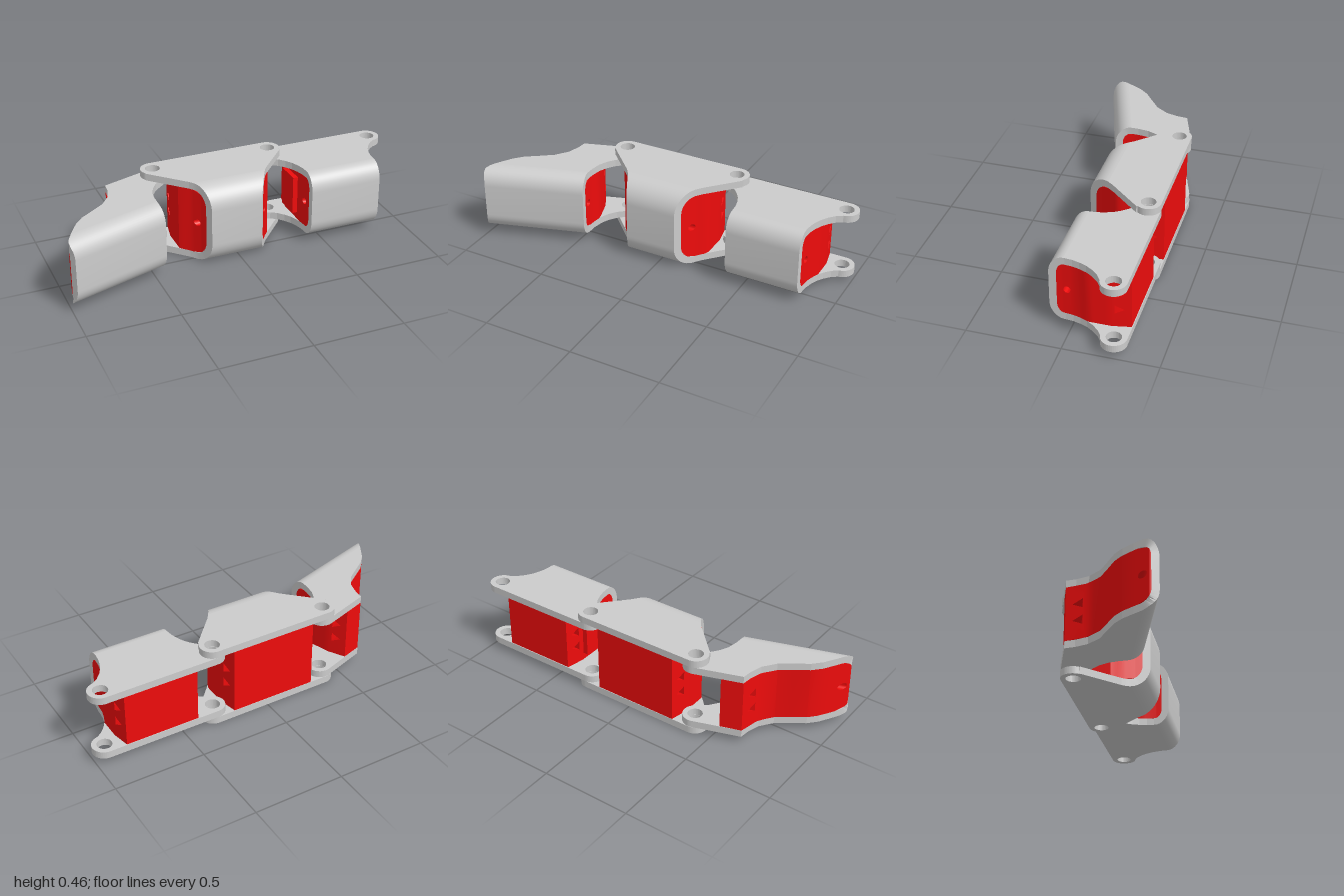
import * as THREE from 'three';
import { mergeGeometries, toCreasedNormals } from 'three/addons/utils/BufferGeometryUtils.js';

const WALL = 0.04, BACK = -0.315, EAR = 0.068, HOLE = 0.04, MID_Y = 0.23;
const grey = new THREE.MeshStandardMaterial({ color: 0xcccccc, side: THREE.DoubleSide });
const red = new THREE.MeshStandardMaterial({ color: 0xee0c0c, side: THREE.DoubleSide });

// x of a side outline at depth z; the outline is a list of [z, x] from front to back
function sideX(outline, z) {
  if (z >= outline[0][0]) return outline[0][1];
  for (let i = 1; i < outline.length; i++) {
    const [z0, x0] = outline[i - 1], [z1, x1] = outline[i];
    if (z >= z1) return x0 + (x1 - x0) * (z - z0) / (z1 - z0);
  }
  return outline[outline.length - 1][1];
}

// Flat side plate with hinge ears, lying behind the rounded corner
function plateGeometry(s) {
  const zc = s.front - s.dz;
  const pts = [];
  const arc = (e, a, b) => {
    for (let i = 0; i <= 20; i++) {
      const t = a + (b - a) * i / 20;
      pts.push(new THREE.Vector2(e.x + EAR * Math.cos(t), -e.z + EAR * Math.sin(t)));
    }
  };
  const side = outline => [[zc, sideX(outline, zc)], ...outline.filter(p => p[0] < zc)]
    .map(([z, x]) => new THREE.Vector2(x, -z));
  pts.push(...side(s.right));
  arc(s.rightEar, -s.rightEar.a, Math.PI / 2);
  if (s.leftEar) arc(s.leftEar, Math.PI / 2, Math.PI + s.leftEar.a);
  pts.push(...side(s.left).reverse());
  const shape = new THREE.Shape(pts);
  for (const e of [s.leftEar, s.rightEar]) {
    if (e) shape.holes.push(new THREE.Path().absarc(e.x, -e.z, HOLE, 0, Math.PI * 2, true));
  }
  const g = new THREE.ExtrudeGeometry(shape, { depth: WALL, bevelEnabled: false, curveSegments: 16 });
  return g.rotateX(-Math.PI / 2);
}

// Rounded front of the U-shaped shell, trimmed by the side outlines
function coverGeometry(s) {
  const zc = s.front - s.dz, n = 12, rings = [];
  for (const sign of [1, -1]) {
    for (let i = 0; i <= n; i++) {
      const t = (sign > 0 ? i : n - i) / n * Math.PI / 2;
      const ring = [0, WALL].map(w => [
        zc + (s.dz - w) * Math.sin(t),
        sign * (s.half - s.dy + (s.dy - w) * Math.cos(t))]);
      const [[zo, yo], [zi, yi]] = ring;
      rings.push([[sideX(s.left, zo), yo, zo], [sideX(s.right, zo), yo, zo],
        [sideX(s.right, zi), yi, zi], [sideX(s.left, zi), yi, zi]]);
    }
  }
  const pos = [], index = [];
  rings.forEach(r => r.forEach(p => pos.push(...p)));
  for (let i = 0; i < rings.length - 1; i++) {
    for (let k = 0; k < 4; k++) {
      const a = i * 4 + k, b = i * 4 + (k + 1) % 4;
      index.push(a, a + 4, b, b, a + 4, b + 4);
    }
  }
  const g = new THREE.BufferGeometry();
  g.setAttribute('position', new THREE.Float32BufferAttribute(pos, 3));
  g.setIndex(index);
  return toCreasedNormals(g, 0.6);
}

// Filling block, built in depth strips, with cord holes running along x
function coreGeometry(s) {
  const zc = s.front - s.dz, end = s.front - WALL, b = s.dy - WALL;
  const halfY = z => {
    const k = Math.max(0, (z - zc) / (s.dz - WALL));
    return s.half - WALL - b + b * Math.sqrt(Math.max(0, 1 - k * k));
  };
  const ends = z => {
    const inset = z < -0.3 ? 0.02 : 0;
    return [Math.max(sideX(s.left, z), s.limits[0] + inset),
      Math.min(sideX(s.right, z), s.limits[1] - inset)];
  };
  const zs = [-0.314, -0.215, -0.18, -0.15, -0.124, -0.098, -0.07, -0.045, -0.02, 0, 0.04];
  for (let i = 1; i <= 8; i++) zs.push(0.04 + (end - 0.04) * Math.sin(i / 8 * Math.PI / 2));
  const strips = [];
  for (let i = 0; i < zs.length - 1; i++) {
    const z0 = zs[i], z1 = zs[i + 1], h0 = halfY(z0), h1 = halfY(z1);
    const shape = new THREE.Shape([[-z0, -h0], [-z0, h0], [-z1, h1], [-z1, -h1]]
      .map(p => new THREE.Vector2(...p)));
    if (i === 0) {
      for (const y of [-0.046, 0.046]) {
        shape.holes.push(new THREE.Path([[0.23, y - 0.026], [0.23, y + 0.026], [0.28, y]]
          .map(p => new THREE.Vector2(...p))));
      }
    }
    if (z0 === 0) shape.holes.push(new THREE.Path().absarc(-0.02, 0, 0.0195, 0, Math.PI * 2, true));
    const g = new THREE.ExtrudeGeometry(shape, { depth: 1, bevelEnabled: false, curveSegments: 12 });
    g.rotateY(Math.PI / 2);
    // Slide both end faces onto the side outlines
    const p = g.attributes.position, e0 = ends(z0), e1 = ends(z1);
    for (let v = 0; v < p.count; v++) {
      const k = (p.getZ(v) - z0) / (z1 - z0);
      const l = e0[0] + (e1[0] - e0[0]) * k, r = e0[1] + (e1[1] - e0[1]) * k;
      p.setX(v, l + (r - l) * p.getX(v));
    }
    strips.push(g);
  }
  return toCreasedNormals(mergeGeometries(strips), 0.5);
}

function makeSegment(name, s) {
  const group = new THREE.Group();
  group.name = name;
  const add = (part, geometry, material, y = 0) => {
    const mesh = new THREE.Mesh(geometry, material);
    mesh.name = part;
    mesh.position.y = y;
    group.add(mesh);
  };
  const plate = plateGeometry(s);
  add('upperPlate', plate, grey, s.half - WALL);
  add('lowerPlate', plate, grey, -s.half);
  add('frontCover', coverGeometry(s), grey);
  add('core', coreGeometry(s), red);
  group.position.y = MID_Y;
  return group;
}

export function createModel() {
  const model = new THREE.Group();
  model.name = 'jointedFinger';

  // Wide middle segment, its ears outside the neighbours' ears
  model.add(makeSegment('middleSegment', {
    half: 0.23, front: 0.12, dz: 0.12, dy: 0.13, limits: [-0.3, 0.225],
    right: [[0.12, 0.11], [0.03, 0.16], [0, 0.178], [-0.03, 0.2], [-0.2, 0.355]],
    left: [[0.12, -0.18], [0.04, -0.215], [0.01, -0.232], [-0.02, -0.255], [-0.2, -0.435]],
    rightEar: { x: 0.3, z: -0.25, a: 0.72 }, leftEar: { x: -0.38, z: -0.247, a: 0.72 },
  }));

  // Base segment, symmetric between its two hinges
  const baseSide = [[0.115, 0.825], [0.03, 0.825], [-0.01, 0.829], [-0.05, 0.839],
    [-0.09, 0.855], [-0.125, 0.877], [-0.16, 0.908], [-0.182, 0.94]];
  const base = makeSegment('baseSegment', {
    half: 0.19, front: 0.115, dz: 0.08, dy: 0.1, limits: [0.405, 0.858],
    right: baseSide, left: baseSide.map(([z, x]) => [z, 1.236 - x]),
    rightEar: { x: 0.933, z: -0.25, a: 1.3 }, leftEar: { x: 0.303, z: -0.25, a: 1.3 },
  });
  const stop = new THREE.Mesh(new THREE.BoxGeometry(0.04, 0.22, 0.14), red);
  stop.name = 'jointStop';
  stop.position.set(0.397, 0, -0.13);
  base.add(stop);
  model.add(base);

  // Bent finger tip with one hinge and a long curved inner face
  const tip = makeSegment('tipSegment', {
    half: 0.19, front: 0.098, dz: 0.09, dy: 0.1, limits: [-1, -0.13],
    right: [[0.097, -0.178], [0.026, -0.171], [-0.03, -0.153], [-0.085, -0.126],
      [-0.125, -0.092], [-0.156, -0.05]],
    left: [[0.096, -0.738], [0.075, -0.745], [0.049, -0.742], [-0.017, -0.672], [-0.065, -0.618],
      [-0.098, -0.562], [-0.124, -0.48], [-0.151, -0.399], [-0.202, -0.33],
      [-0.263, -0.29], [BACK, -0.268]],
    rightEar: { x: 0, z: -0.25, a: 1.0 },
  });
  tip.rotation.y = 0.307;
  tip.position.set(-0.3045, MID_Y, -0.007);
  model.add(tip);
  return model;
}
